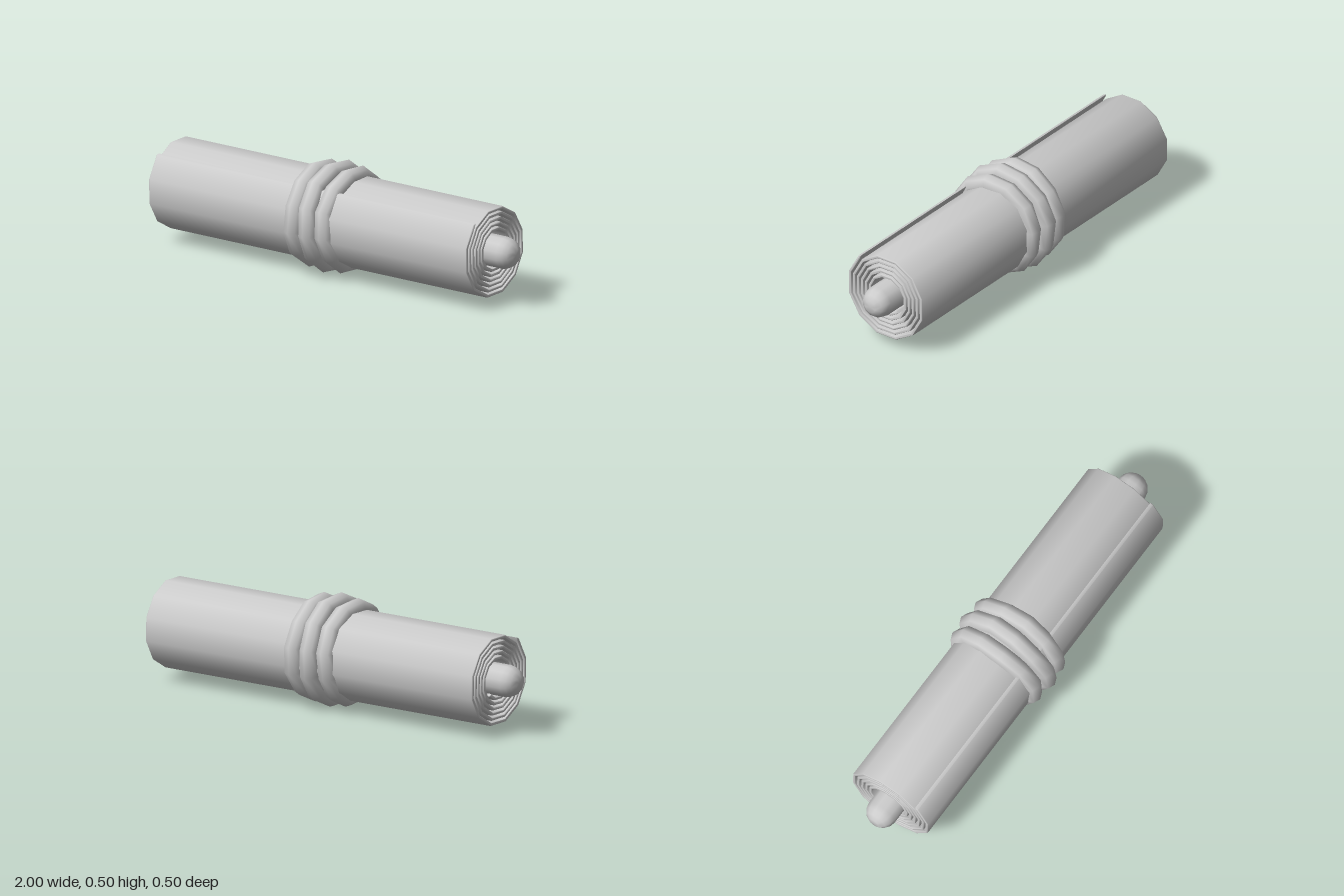
import * as THREE from 'three';
import { toCreasedNormals } from 'three/addons/utils/BufferGeometryUtils.js';

const CY = 0.255, CZ = -0.005; // axis of the roll
const material = new THREE.MeshStandardMaterial({ color: 0xcccccc });

function part(name, geometry, y, z) {
  const mesh = new THREE.Mesh(geometry, material);
  mesh.name = name;
  mesh.position.set(0, y, z);
  return mesh;
}

// Spiral strip, twelve straight folds per turn, wound inwards from the loose edge
function sheetGeometry() {
  const steps = 66, perTurn = 12, pitch = 0.023, half = 0.007, bevel = 0.005;
  const point = (i, offset) => {
    const a = Math.PI / 4 - (i / perTurn) * Math.PI * 2;
    const r = 0.212 - (i / perTurn) * pitch + offset;
    return new THREE.Vector2(Math.cos(a) * r, Math.sin(a) * r);
  };
  const outline = [];
  for (let i = 0; i <= steps; i++) outline.push(point(i, half));
  for (let i = steps; i >= 0; i--) outline.push(point(i, -half));
  outline.push(point(-0.12, 0)); // blunt tip of the loose edge
  const length = 1.77 - 2 * bevel;
  const g = new THREE.ExtrudeGeometry(new THREE.Shape(outline), {
    depth: length, bevelEnabled: true, bevelThickness: bevel,
    bevelSize: bevel, bevelOffset: -bevel, bevelSegments: 2,
  });
  g.translate(0, 0, -length / 2);
  g.rotateY(-Math.PI / 2);
  return toCreasedNormals(g, 0.8);
}

// Rod with domed ends
function rodGeometry() {
  const end = [[0.94, 0.072], [0.965, 0.066], [0.985, 0.052], [1, 0.028], [1, 0]];
  const profile = [
    ...end.map(([x, r]) => new THREE.Vector2(r, -x)).reverse(),
    ...end.map(([x, r]) => new THREE.Vector2(r, x)),
  ];
  const g = new THREE.LatheGeometry(profile, 12, Math.PI / 12);
  g.rotateZ(Math.PI / 2);
  return toCreasedNormals(g, 0.9);
}

// Slightly wavy loop of cord around the roll
function cordGeometry(major, phase) {
  const g = new THREE.TorusGeometry(major, 0.044, 8, 12);
  const p = g.attributes.position;
  for (let i = 0; i < p.count; i++) {
    const a = Math.atan2(p.getY(i), p.getX(i));
    p.setZ(i, p.getZ(i) + 0.005 * Math.sin(3 * a + phase));
  }
  g.rotateZ(THREE.MathUtils.degToRad(20));
  g.rotateY(-Math.PI / 2);
  return toCreasedNormals(g, 1.2);
}

export function createModel() {
  const model = new THREE.Group();
  model.name = 'scroll';
  model.add(part('rolledSheet', sheetGeometry(), CY, CZ));
  model.add(part('rod', rodGeometry(), CY, CZ));

  const cord = new THREE.Group();
  cord.name = 'cord';
  [-1, 0, 1].forEach((k) => {
    const loop = part('cordLoop', cordGeometry(k ? 0.199 : 0.211, k * 1.7), CY, 0);
    loop.position.x = k * 0.087;
    cord.add(loop);
  });
  model.add(cord);
  return model;
}
